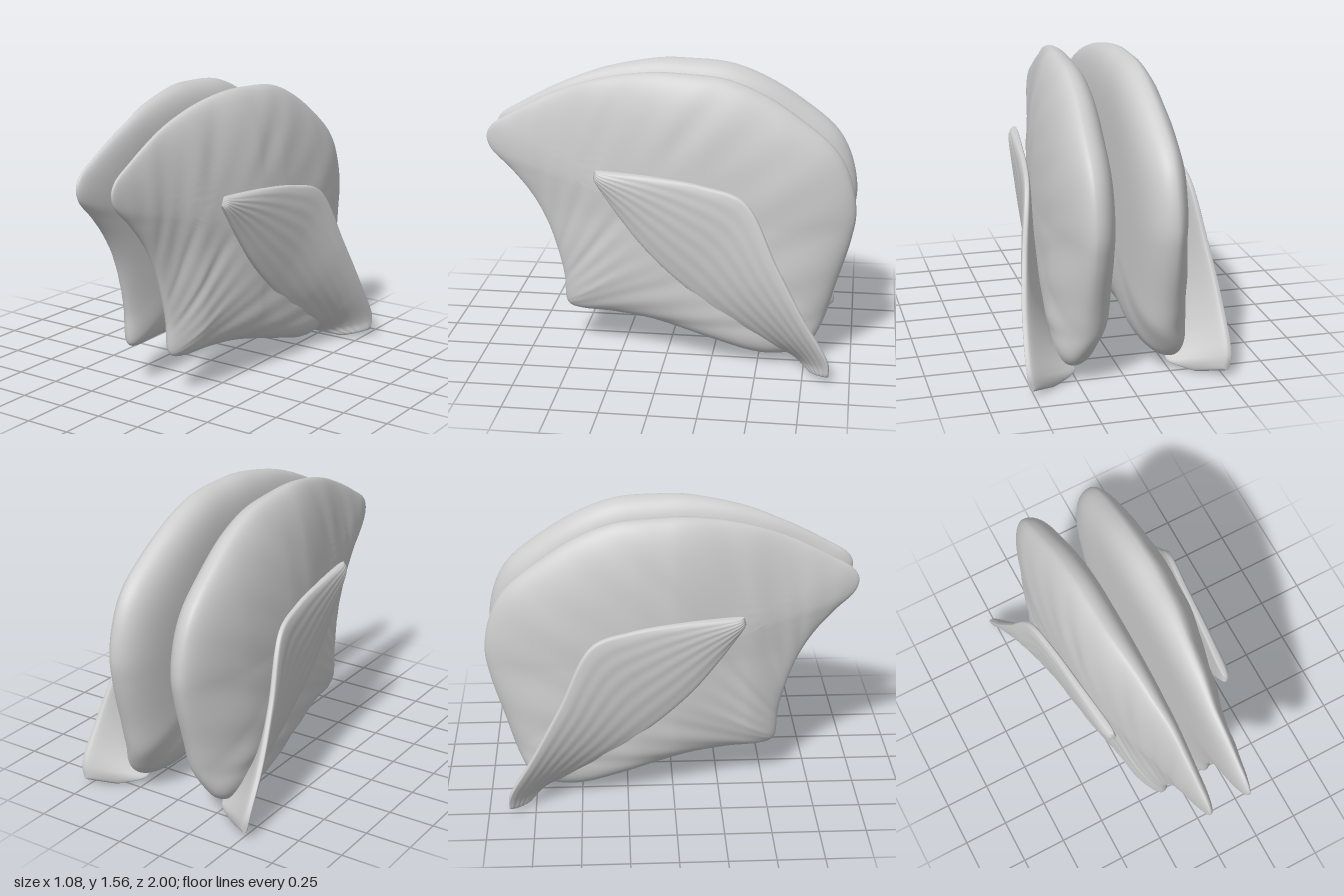
import * as THREE from 'three';
import { mergeVertices } from 'three/addons/utils/BufferGeometryUtils.js';

const V = (x, y, z) => new THREE.Vector3(x, y, z);
const { lerp, smoothstep } = THREE.MathUtils;

// Smooth skin over a parametric grid; side -1 mirrors it and reverses the faces
function skin(nu, nv, point, side) {
  const pos = [], idx = [];
  for (let i = 0; i <= nu; i++) for (let j = 0; j <= nv; j++) {
    const p = point(i / nu, j / nv);
    pos.push(p.x * side, p.y, p.z);
  }
  for (let i = 0; i < nu; i++) for (let j = 0; j < nv; j++) {
    const a = i * (nv + 1) + j, b = a + nv + 1;
    if (side > 0) idx.push(a, b, a + 1, b, b + 1, a + 1);
    else idx.push(a, a + 1, b, b, a + 1, b + 1);
  }
  let g = new THREE.BufferGeometry();
  g.setAttribute('position', new THREE.Float32BufferAttribute(pos, 3));
  g.setIndex(idx);
  g = mergeVertices(g, 1e-5);
  g.computeVertexNormals();
  return g;
}

// Side outline of the big lobe as [z, y]
const outline = new THREE.CatmullRomCurve3([
  [1, 1.17], [0.97, 1.23], [0.86, 1.3], [0.65, 1.41], [0.4, 1.505], [0.1, 1.56], [-0.08, 1.56],
  [-0.3, 1.54], [-0.5, 1.465], [-0.7, 1.34], [-0.88, 1.19], [-0.96, 1.05], [-1, 0.85],
  [-0.98, 0.7], [-0.91, 0.45], [-0.84, 0.22], [-0.75, 0.09], [-0.6, 0.05], [-0.48, 0.055],
  [-0.3, 0.1], [-0.1, 0.15], [0.1, 0.19], [0.3, 0.205], [0.54, 0.215], [0.57, 0.24],
  [0.585, 0.4], [0.62, 0.55], [0.68, 0.72], [0.76, 0.86], [0.87, 0.99], [0.98, 1.1],
].map(([z, y]) => V(0, y, z)), true);

// Half thickness of the lobe along z
const widths = [[-1, 0.15], [-0.6, 0.157], [-0.2, 0.153], [0, 0.146], [0.4, 0.108], [0.6, 0.083], [1, 0.06]];
function halfWidth(z) {
  for (let i = 1; i < widths.length; i++) {
    const [z0, w0] = widths[i - 1], [z1, w1] = widths[i];
    if (z <= z1) return lerp(w0, w1, 0.4 * smoothstep(z, z0, z1) + 0.6 * Math.max(0, (z - z0) / (z1 - z0)));
  }
  return 0.06;
}

// Shallow fibre grooves fanning out from the lower front corner
function groove(z, y) {
  const a = Math.atan2(y - 0.15, 0.75 - z);
  return Math.max(0, Math.sin(a * 17 + 1.5 * Math.sin(a * 5))) ** 4 * 0.006
    + 0.002 * Math.sin(a * 43);
}

function lobePoint(u, v) {
  const rim = outline.getPoint(u % 1);
  const s = Math.sin(v * Math.PI), outer = v < 0.5;
  const y = 0.8 + (rim.y - 0.8) * s, z = -0.1 + (rim.z + 0.1) * s;
  const half = halfWidth(z);
  // the crest leans inward at the top and outward at the lower back
  const lean = -0.02 * smoothstep(rim.y, 1.2, 1.5)
    + 0.05 * smoothstep(0.3 - rim.y, 0, 0.2) * smoothstep(-rim.z, -0.3, 0.4);
  const power = outer ? 2.8 - 0.6 * smoothstep(rim.y, 0.9, 1.4) + 2.5 * smoothstep(0.8 - rim.y, 0, 0.5) : 6.5;
  const depth = v === 0.5 ? 0 : Math.sqrt(Math.max(0, 1 - s ** power));
  const off = outer ? half - groove(z, y) * smoothstep(s, 0.2, 0.7) : -half;
  return V(0.052 + half + lean * s ** 4 + off * depth, y, z);
}

// Upper and lower edges of the slanted side flap
const upperEdge = new THREE.CatmullRomCurve3([
  V(0.335, 1.065, 0.37), V(0.372, 1.052, 0.05), V(0.4, 1.02, -0.22), V(0.432, 0.955, -0.43),
  V(0.487, 0.63, -0.605), V(0.52, 0.36, -0.75), V(0.528, 0.12, -0.885), V(0.512, 0.035, -0.89)]);
const lowerEdge = new THREE.CatmullRomCurve3([
  V(0.33, 1.02, 0.38), V(0.335, 0.83, 0.25), V(0.34, 0.64, 0.1), V(0.34, 0.45, -0.1),
  V(0.33, 0.26, -0.35), V(0.295, 0.105, -0.58), V(0.255, 0.04, -0.69), V(0.38, 0, -0.79)]);
const flapNormal = V(0.97, -0.15, 0.18).normalize();

function flapPoint(u, v) {
  const a = v * Math.PI * 2, sn = v === 0.5 || v === 1 ? 0 : Math.sin(a);
  const w = (1 - Math.cos(a)) / 2;
  const p = lowerEdge.getPoint(u).lerp(upperEdge.getPoint(u), w);
  const taper = Math.sqrt(Math.max(0, 1 - Math.abs(2 * u - 1) ** 24));
  const ridge = sn > 0 ? 0.0015 * Math.sin(w * 42 + 3 * u) * sn : 0;
  const t = Math.sign(sn) * Math.sqrt(Math.abs(sn)) * 0.029 + 0.01 * sn * sn + ridge;
  return p.addScaledVector(flapNormal, t * taper);
}

export function createModel() {
  const model = new THREE.Group();
  model.name = 'pairedLobes';
  const grey = new THREE.MeshStandardMaterial({ color: 0xcccccc });
  grey.name = 'light grey';
  for (const [name, side] of [['left', 1], ['right', -1]]) {
    const lobe = new THREE.Mesh(skin(220, 72, lobePoint, side), grey);
    lobe.name = name + 'Lobe';
    const flap = new THREE.Mesh(skin(120, 96, flapPoint, side), grey);
    flap.name = name + 'SideFlap';
    model.add(lobe, flap);
  }
  return model;
}
